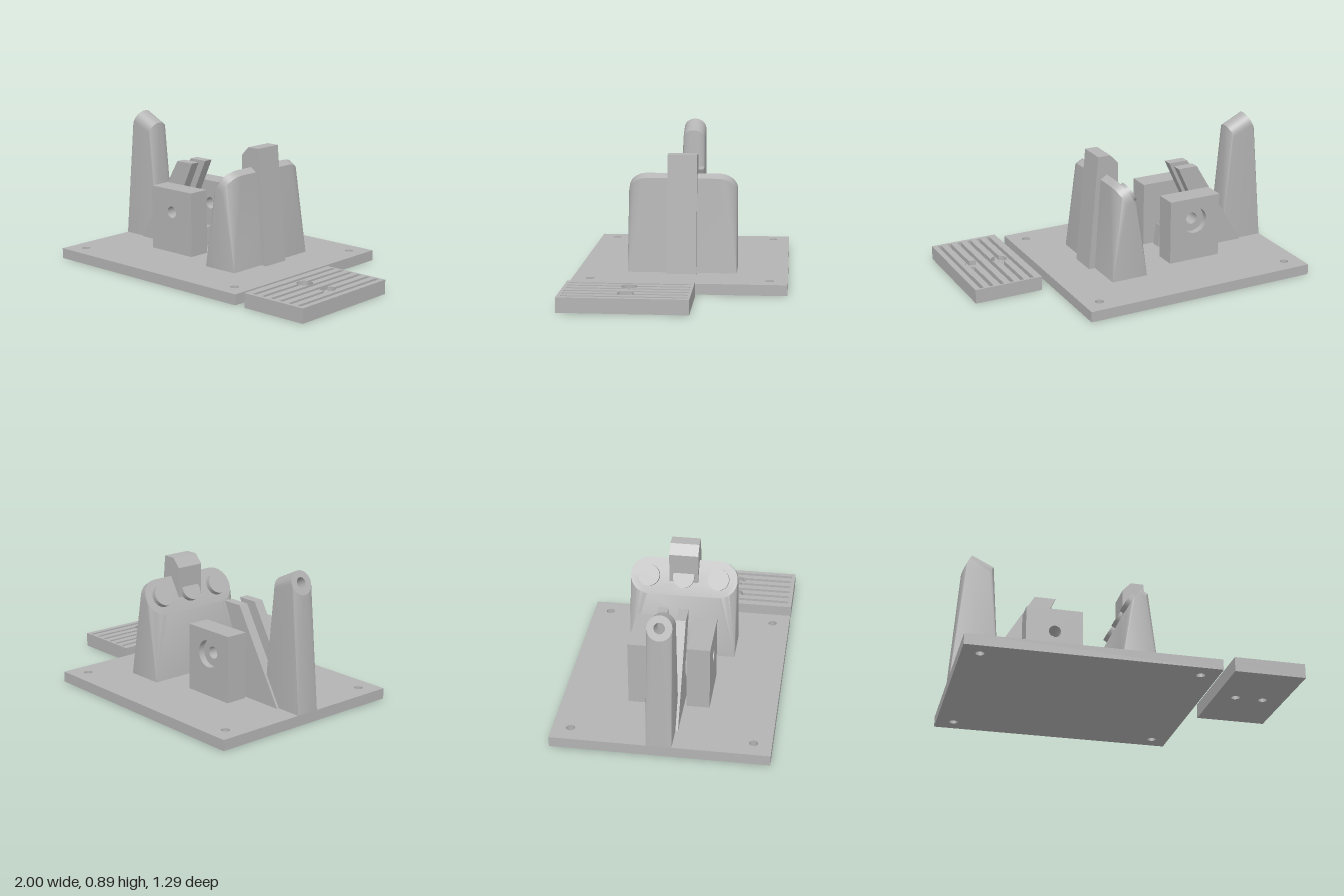
import * as THREE from 'three';
import { toCreasedNormals } from 'three/addons/utils/BufferGeometryUtils.js';
import { ConvexGeometry } from 'three/addons/geometries/ConvexGeometry.js';

const grey = new THREE.MeshStandardMaterial({ color: 0xb3b3b3, side: THREE.DoubleSide });
grey.name = 'plain grey';

const V = (x, y, z) => new THREE.Vector3(x, y, z);
const polygon = (pts) => new THREE.Shape(pts.map(([x, y]) => new THREE.Vector2(x, y)));
const rect = (x0, x1, y0, y1) => polygon([[x0, y0], [x1, y0], [x1, y1], [x0, y1]]);

function punch(shape, x, y, r) {
  const hole = new THREE.Path();
  hole.absarc(x, y, r, 0, Math.PI * 2, true);
  shape.holes.push(hole);
  return shape;
}

function add(parent, name, geometry, smooth = true) {
  const mesh = new THREE.Mesh(smooth ? toCreasedNormals(geometry, 0.5) : geometry, grey);
  mesh.name = name;
  parent.add(mesh);
  return mesh;
}

// Extrude an xy outline from z0 to z1
function extrude(shape, z0, z1) {
  return new THREE.ExtrudeGeometry(shape, { depth: z1 - z0, bevelEnabled: false, curveSegments: 24 })
    .translate(0, 0, z0);
}
// Lay an outline (x, -z) flat and raise it from y0 to y1
const flat = (shape, y0, y1) => extrude(shape, y0, y1).rotateX(-Math.PI / 2);

// Tapered column: convex skin from a base rectangle to given top points
function taper(x0, x1, halfZ, y, top) {
  const base = [];
  for (const x of [x0, x1]) for (const z of [-halfZ, halfZ]) base.push(V(x, y, z));
  return new ConvexGeometry([...base, ...top]);
}

function buildTreadPlate(root) {
  const g = new THREE.Group();
  g.name = 'treadPlate';
  root.add(g);
  const x0 = 0.57, x1 = 1, z0 = -0.105, z1 = 0.645, floor = 0.058, top = 0.088;
  const holeX = [0.697, 0.868], holeZ = 0.265, bore = 0.048;
  const bottom = rect(x0, x1, -z1, -z0);
  for (const x of holeX) punch(bottom, x, -holeZ, 0.026);
  add(g, 'treadBottom', flat(bottom, 0, floor));
  // End borders of the grooved layer
  add(g, 'treadBorder', flat(rect(x0, x1, -z0 - 0.014, -z0), floor, top));
  add(g, 'treadBorder', flat(rect(x0, x1, -z1, -z1 + 0.022), floor, top));
  // Ribs between grooves, bitten by the round recesses
  const bite = (x) => Math.max(...holeX.map((h) => Math.sqrt(Math.max(0, bore * bore - (x - h) ** 2))));
  const slots = [0.628, 0.693, 0.758, 0.824, 0.89, 0.955];
  for (let i = 0; i <= slots.length; i++) {
    const a = i === 0 ? x0 : slots[i - 1] + 0.012;
    const b = i === slots.length ? x1 : slots[i] - 0.012;
    for (const [end, s] of [[z0 + 0.014, -1], [z1 - 0.022, 1]]) {
      const pts = [[a, -end], [b, -end]];
      for (let k = 16; k >= 0; k--) {
        const x = a + (b - a) * k / 16;
        pts.push([x, -(holeZ + s * bite(x))]);
      }
      add(g, 'treadRib', flat(polygon(pts), floor, top));
    }
  }
}

function buildPost(root) {
  const g = new THREE.Group();
  g.name = 'tallPost';
  root.add(g);
  // Tilted round head blended into a rectangular foot
  const tilt = -0.449, r = 0.073, c = V(-0.925, 0.825, 0);
  const d = V(Math.cos(tilt), Math.sin(tilt), 0), n = V(-d.y, d.x, 0);
  const top = [];
  for (const t of [0, 0.15]) for (let i = 0; i < 48; i++) {
    const a = i / 48 * Math.PI * 2;
    top.push(c.clone().addScaledVector(d, t).addScaledVector(n, r * Math.cos(a)).add(V(0, 0, r * Math.sin(a))));
  }
  const skin = taper(-1, -0.715, 0.075, 0.065, top);
  // Open the flat end of the head so it can carry a bored hole
  const p = skin.attributes.position, nm = skin.attributes.normal, keep = [];
  for (let i = 0; i < p.count; i += 3) {
    if (V(0, 0, 0).fromBufferAttribute(nm, i).dot(d) < -0.9995) continue;
    for (let k = i; k < i + 3; k++) keep.push(p.getX(k), p.getY(k), p.getZ(k));
  }
  const open = new THREE.BufferGeometry();
  open.setAttribute('position', new THREE.Float32BufferAttribute(keep, 3));
  open.computeVertexNormals();
  add(g, 'postBody', open);
  const place = (geo) => geo.rotateZ(tilt).translate(c.x, c.y, c.z);
  add(g, 'postHeadFace', place(new THREE.RingGeometry(0.032, r, 48).rotateY(-Math.PI / 2)), false);
  add(g, 'postBore', place(new THREE.CylinderGeometry(0.032, 0.032, 0.15, 32, 1, true)
    .rotateZ(Math.PI / 2).translate(0.075, 0, 0)), false);
}

function buildWideSupport(root) {
  const g = new THREE.Group();
  g.name = 'wideSupport';
  root.add(g);
  // Tilted stadium head blended into a rectangular foot
  const c = V(0.06, 0.568, 0), up = V(0.524, 0.852, 0), back = V(0.852, -0.524, 0);
  const r = 0.115, cz = 0.218, top = [];
  for (const t of [0, 0.05]) for (const s of [-1, 1]) for (let i = 0; i <= 24; i++) {
    const a = i / 24 * Math.PI;
    top.push(c.clone().addScaledVector(back, t).addScaledVector(up, r * Math.cos(a))
      .add(V(0, 0, s * (cz + r * Math.sin(a)))));
  }
  add(g, 'supportBody', taper(-0.03, 0.205, 0.333, 0.065, top));
  // Round buttons on the sloping face
  for (const z of [-0.216, 0, 0.216]) {
    const button = add(g, 'button', new THREE.CylinderGeometry(0.066, 0.066, 0.05, 40));
    button.quaternion.setFromUnitVectors(V(0, 1, 0), back.clone().negate());
    button.position.copy(c).addScaledVector(back, -0.007).add(V(0, 0, z));
  }
  // Central spine behind the face
  add(g, 'spine', extrude(polygon([[0.045, 0.065], [0.245, 0.065], [0.178, 0.785], [0.097, 0.785], [0.045, 0.73]]), -0.09, 0.09));
}

function buildPivot(root) {
  const g = new THREE.Group();
  g.name = 'pivotMount';
  root.add(g);
  // Drilled side blocks, the rear one with a wide recess
  const block = (r) => punch(rect(-0.585, -0.24, 0.065, 0.472), -0.41, 0.325, r);
  add(g, 'frontBlock', extrude(block(0.037), 0.105, 0.244));
  add(g, 'rearBlock', extrude(block(0.037), -0.206, -0.107));
  add(g, 'rearBlockRecess', extrude(block(0.083), -0.246, -0.206));
  // Pair of raked ribs with a scooped foot
  const rib = [[-0.84, 0.065], [-0.305, 0.065], [-0.32, 0.205], [-0.37, 0.182], [-0.44, 0.182],
    [-0.5, 0.22], [-0.53, 0.3], [-0.38, 0.617], [-0.51, 0.617]];
  for (const z of [-0.09, 0.03]) add(g, 'rakedRib', extrude(polygon(rib), z, z + 0.06));
}

export function createModel() {
  const root = new THREE.Group();
  root.name = 'pedalStand';
  // Base plate with corner holes
  const base = rect(-1, 0.5, -0.645, 0.645);
  for (const x of [-0.893, 0.395]) for (const z of [-0.537, 0.537]) punch(base, x, z, 0.026);
  add(root, 'basePlate', flat(base, 0, 0.065));
  buildTreadPlate(root);
  buildPost(root);
  buildPivot(root);
  buildWideSupport(root);
  return root;
}
